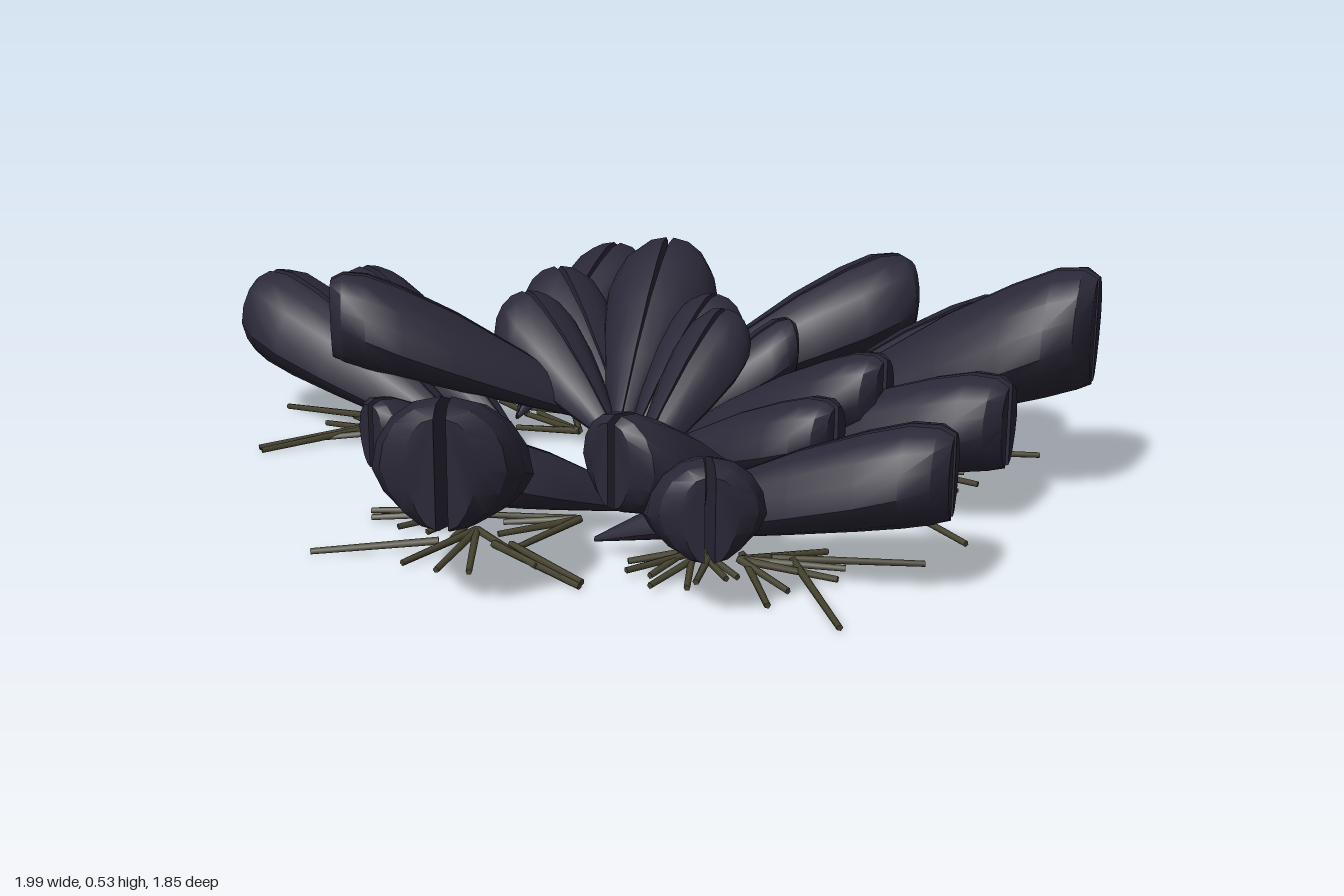
import * as THREE from 'three';
import { toCreasedNormals } from 'three/addons/utils/BufferGeometryUtils.js';

const shellMat = new THREE.MeshStandardMaterial({ color: 0x2a2837 });
shellMat.name = 'shellBlue';
const threadMat = new THREE.MeshStandardMaterial({ color: 0x474430 });
threadMat.name = 'threadOlive';

// beak x, beak z, tip x, tip z, tip centre height, full width
const MUSSELS = [
  [-0.16, -0.30, 0.23, -0.89, 0.28, 0.28],
  [0.17, -0.25, 0.65, -0.72, 0.26, 0.31],
  [0.19, -0.27, 0.93, -0.52, 0.41, 0.33],
  [0.16, -0.10, 0.87, -0.26, 0.24, 0.25],
  [0.02, -0.10, 0.60, -0.19, 0.27, 0.22],
  [0.06, 0.07, 0.60, 0.00, 0.22, 0.20],
  [0.14, 0.14, 0.08, -0.32, 0.28, 0.18],
  [-0.02, -0.16, 0.18, -0.45, 0.24, 0.18],
  [0.01, -0.02, -0.05, -0.46, 0.25, 0.21],
  [-0.03, -0.03, -0.28, -0.57, 0.31, 0.28],
  [-0.38, -0.08, -0.51, -0.65, 0.26, 0.24],
  [-0.06, -0.12, -0.52, -0.39, 0.25, 0.23],
  [-0.02, -0.05, -0.46, -0.19, 0.24, 0.22],
  [-0.13, -0.20, -0.65, 0.27, 0.33, 0.26],
  [-0.24, 0.18, -0.99, 0.17, 0.26, 0.27],
  [-0.21, 0.09, -0.89, -0.05, 0.26, 0.23],
  [-0.13, 0.27, 0.28, 0.88, 0.32, 0.31],
  [0.01, 0.21, -0.10, 0.69, 0.26, 0.19],
  [0.27, 0.21, 0.04, 0.52, 0.16, 0.17],
  [0.51, 0.06, 0.47, 0.60, 0.30, 0.24],
  [0.29, 0.12, 0.69, 0.57, 0.23, 0.24],
  [0.28, 0.42, 0.98, 0.16, 0.27, 0.24],
];

// along the shell: position, bulge, height above the axis, depth below it
const PROFILE = [
  [0, 0.03, 0.05, 0.05], [0.12, 0.24, 0.3, 0.17], [0.35, 0.58, 0.68, 0.4], [0.58, 0.86, 0.93, 0.63],
  [0.76, 1, 1.01, 0.8], [0.88, 0.95, 1, 0.91], [0.96, 0.76, 0.86, 0.97], [1, 0.4, 0.66, 0.96],
];
const BEAK_Y = 0.035;

// One valve: rounded above, narrowing to a keel below, swept from beak to tip
function valveGeometry(length, rise, width, side) {
  const cols = 9, pos = [], idx = [];
  for (const [t, bulge, top, bottom] of PROFILE) {
    for (let j = 0; j < cols; j++) {
      const a = Math.PI * j / (cols - 1), c = Math.cos(a);
      const keel = c < 0 ? 1 + 0.2 * c : 1;
      const out = 0.001 + t * t * length * 0.015 + Math.sin(a) * keel * bulge * width * 0.48;
      const up = c * width * (c > 0 ? top * 0.49 : bottom * 0.42);
      pos.push(side * out, rise * t + up, t * length);
    }
  }
  const tri = (a, b, c) => (side > 0 ? idx.push(a, b, c) : idx.push(a, c, b));
  for (let i = 0; i < PROFILE.length - 1; i++) {
    for (let j = 0; j < cols; j++) {
      const a = i * cols + j, b = i * cols + (j + 1) % cols;
      tri(a, a + cols, b);
      tri(b, a + cols, b + cols);
    }
  }
  // end faces
  const last = (PROFILE.length - 1) * cols;
  for (let j = 1; j < cols - 1; j++) {
    tri(0, j, j + 1);
    tri(last, last + j + 1, last + j);
  }
  const g = new THREE.BufferGeometry();
  g.setAttribute('position', new THREE.Float32BufferAttribute(pos, 3));
  g.setIndex(idx);
  return toCreasedNormals(g, 0.6);
}

function makeMussel([bx, bz, tx, tz, tipY, width]) {
  const mussel = new THREE.Group();
  mussel.name = 'mussel';
  const length = Math.hypot(tx - bx, tz - bz);
  for (const side of [1, -1]) {
    const valve = new THREE.Mesh(valveGeometry(length, tipY - BEAK_Y, width, side), shellMat);
    valve.name = side > 0 ? 'leftValve' : 'rightValve';
    mussel.add(valve);
  }
  mussel.position.set(bx, BEAK_Y, bz);
  mussel.rotation.y = Math.atan2(tx - bx, tz - bz);
  return mussel;
}

// Thin holding thread lying on the ground between two points
function makeThread(x1, z1, x2, z2, y1, y2) {
  const a = new THREE.Vector3(x1, y1, z1), b = new THREE.Vector3(x2, y2, z2);
  const dir = b.clone().sub(a);
  const thread = new THREE.Mesh(new THREE.CylinderGeometry(0.007, 0.009, dir.length(), 5), threadMat);
  thread.name = 'holdingThread';
  thread.position.copy(a).add(b).multiplyScalar(0.5);
  thread.quaternion.setFromUnitVectors(new THREE.Vector3(0, 1, 0), dir.normalize());
  return thread;
}

// Thread ends that reach out past the shells: from x, z to x, z
const OUTER_THREADS = [
  [-0.48, -0.40, -0.70, -0.45], [-0.45, -0.40, -0.70, -0.40], [-0.40, -0.14, -0.55, -0.21],
  [-0.63, 0.18, -0.76, 0.42], [-0.62, 0.18, -0.74, 0.43], [-0.06, 0.45, -0.25, 0.55],
  [-0.04, 0.46, -0.22, 0.58], [0.02, 0.62, -0.18, 0.80], [0.66, 0.24, 0.90, 0.43],
  [0.56, 0.28, 0.73, 0.43], [0.62, -0.18, 0.87, -0.10], [0.07, -0.62, 0.01, -0.89],
  [-0.14, -0.34, -0.14, -0.57], [0.12, 0.56, 0.38, 0.59], [0.15, 0.54, 0.37, 0.57],
  [-0.68, 0.12, -0.94, 0.16], [0.62, 0.26, 0.86, 0.05], [0.50, -0.50, 0.72, -0.70],
];

export function createModel() {
  const model = new THREE.Group();
  model.name = 'musselCluster';
  const shells = new THREE.Group();
  shells.name = 'shells';
  const threads = new THREE.Group();
  threads.name = 'threads';
  model.add(shells, threads);

  let seed = 7;
  const rand = () => (seed = (seed * 16807) % 2147483647) / 2147483647;

  for (const m of MUSSELS) {
    shells.add(makeMussel(m));
    // fan of threads under the middle of each shell
    const [bx, bz, tx, tz] = m;
    const cx = bx + (tx - bx) * 0.42, cz = bz + (tz - bz) * 0.42;
    const heading = Math.atan2(tx - bx, tz - bz);
    for (let i = 0; i < 4; i++) {
      const a = heading + (i - 1.5) * 0.4 + (rand() - 0.5) * 0.3;
      const r = 0.15 + rand() * 0.08;
      threads.add(makeThread(cx, cz, cx + Math.sin(a) * r, cz + Math.cos(a) * r,
        0.03, 0.011 + rand() * 0.012));
    }
  }
  for (const [x1, z1, x2, z2] of OUTER_THREADS) threads.add(makeThread(x1, z1, x2, z2, 0.028, 0.01));
  return model;
}
